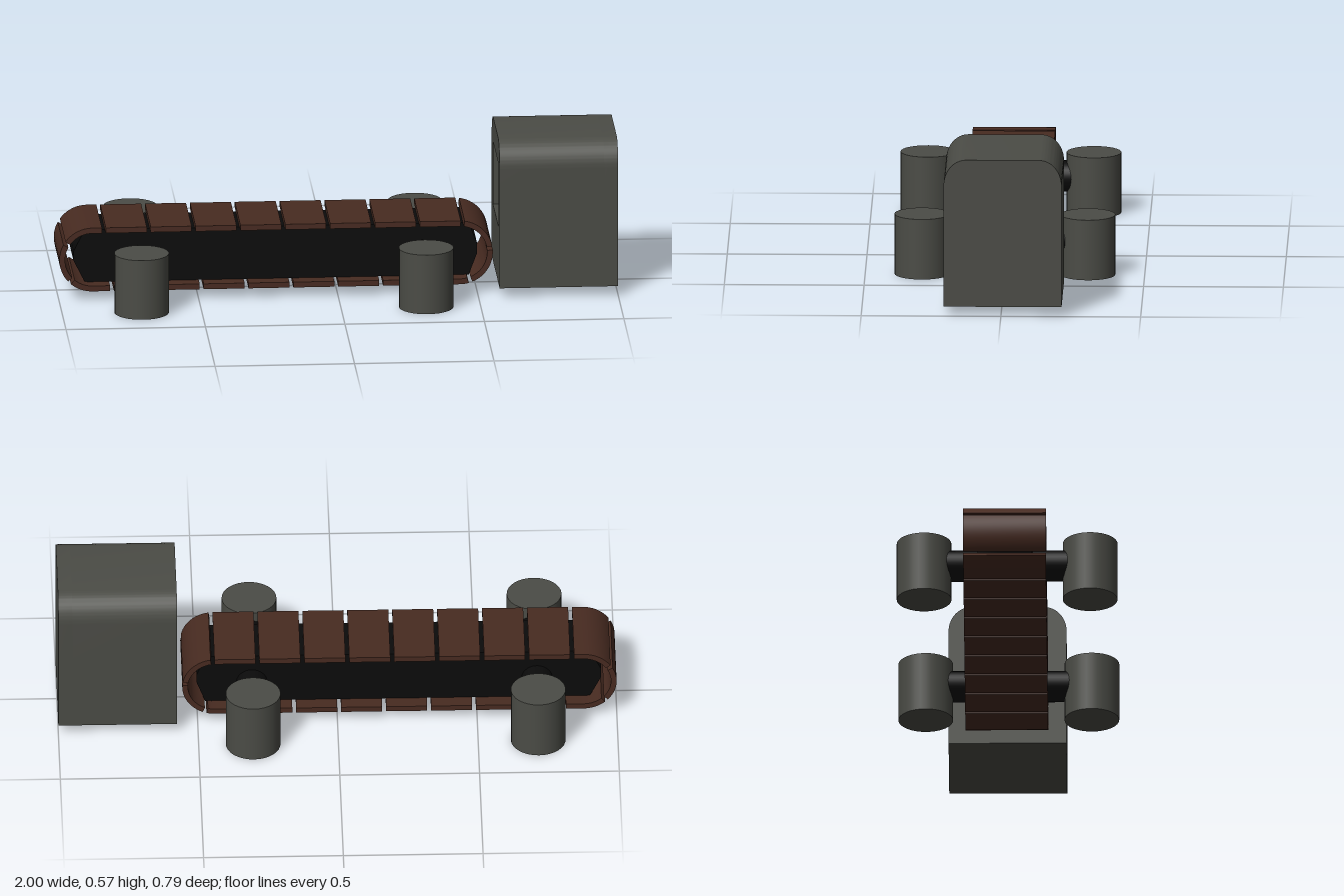
import * as THREE from 'three';
import { toCreasedNormals } from 'three/addons/utils/BufferGeometryUtils.js';

const mat = (name, color) => {
  const m = new THREE.MeshStandardMaterial({ color });
  m.name = name;
  return m;
};

export function createModel() {
  const root = new THREE.Group();
  root.name = 'conveyor';
  const gray = mat('dark gray metal', 0x4b4c46);
  const brown = mat('brown slats', 0x482b21);
  const black = mat('black frame', 0x0b0b0b);

  const add = (name, geo, material, parent = root) => {
    const mesh = new THREE.Mesh(geo, material);
    mesh.name = name;
    parent.add(mesh);
    return mesh;
  };
  const extrude = (shape, depth) => toCreasedNormals(
    new THREE.ExtrudeGeometry(shape, { depth, bevelEnabled: false, curveSegments: 12 }), 0.6);
  const polygon = pts => new THREE.Shape(pts.map(p => new THREE.Vector2(...p)));

  // Belt loop: two straight runs joined by half circles
  const xl = -0.881, xr = 0.437, yc = 0.152, R = 0.118, thickness = 0.02;
  const run = xr - xl, arc = Math.PI * R, total = 2 * (run + arc);
  const loopPoint = (s, r) => {
    s = ((s % total) + total) % total;
    if (s < run) return [xr - s, yc + r];
    s -= run;
    if (s < arc) return [xl - r * Math.sin(s / R), yc + r * Math.cos(s / R)];
    s -= arc;
    if (s < run) return [xl + s, yc - r];
    s -= run;
    return [xr + r * Math.sin(s / R), yc - r * Math.cos(s / R)];
  };

  // Slats spaced evenly round the loop
  const belt = new THREE.Group();
  belt.name = 'belt';
  root.add(belt);
  const count = 21, pitch = total / count, gap = 0.014, steps = 12;
  for (let i = 0; i < count; i++) {
    const start = -0.01 + i * pitch + gap / 2;
    const outer = [], inner = [];
    for (let k = 0; k <= steps; k++) {
      const s = start + (pitch - gap) * k / steps;
      outer.push(loopPoint(s, R));
      inner.unshift(loopPoint(s, R - thickness));
    }
    add('slat', extrude(polygon([...outer, ...inner]), 0.296), brown, belt).position.z = -0.156;
  }

  // Frame inside the belt, with tapered ends
  const frame = polygon([
    [-0.905, 0.055], [0.472, 0.055], [0.502, 0.135], [0.502, 0.17],
    [0.472, 0.249], [-0.905, 0.249], [-0.945, 0.17], [-0.945, 0.135],
  ]);
  add('frame', extrude(frame, 0.195), black).position.z = -0.105;

  // Axles with a post at each end
  for (const x of [-0.715, 0.305]) {
    const axle = add('axle', new THREE.CylinderGeometry(0.056, 0.056, 0.58, 32), black);
    axle.rotation.x = Math.PI / 2;
    axle.position.set(x, 0.132, 0);
    for (const side of [-1, 1]) {
      add('post', new THREE.CylinderGeometry(0.098, 0.098, 0.22, 32), gray)
        .position.set(x, 0.11, side * 0.297);
    }
  }

  // Hood outline, drawn across the belt, with rounded upper corners
  const hoodShape = () => {
    const w = 0.211, bottom = 0.035, top = 0.572, rx = 0.08, ry = 0.095;
    const s = new THREE.Shape();
    s.moveTo(-w, bottom);
    s.lineTo(w, bottom);
    s.lineTo(w, top - ry);
    s.absellipse(w - rx, top - ry, rx, ry, 0, Math.PI / 2, false, 0);
    s.lineTo(-w + rx, top);
    s.absellipse(-w + rx, top - ry, rx, ry, Math.PI / 2, Math.PI, false, 0);
    s.closePath();
    return s;
  };
  const hood = new THREE.Group();
  hood.name = 'hood';
  hood.rotation.y = Math.PI / 2;
  hood.position.set(0.575, 0, -0.006);
  root.add(hood);

  // Hollow front part with its opening towards the belt, closed by a back wall
  const shell = hoodShape();
  shell.holes.push(new THREE.Path(
    [[-0.141, 0.245], [-0.141, 0.48], [0.141, 0.48], [0.141, 0.245]].map(p => new THREE.Vector2(...p))));
  add('hoodShell', extrude(shell, 0.375), gray, hood);
  add('hoodBack', extrude(hoodShape(), 0.05), gray, hood).position.z = 0.375;

  return root;
}
